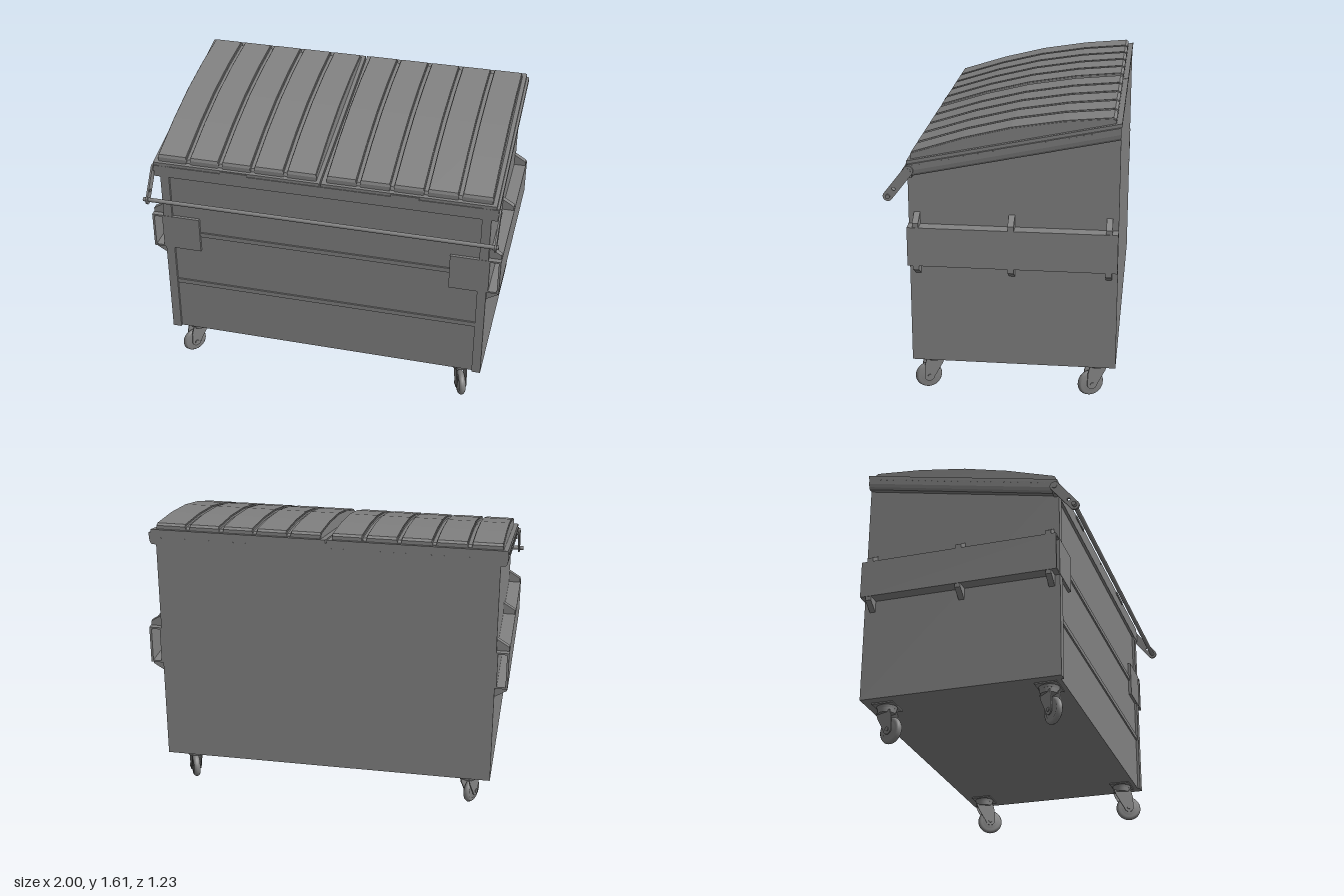
import * as THREE from 'three';

const SLOPE = 0.209;                                   // rise of the rim toward the back
const rimY = (y, z) => y + SLOPE * (0.49 - z);         // height on the slanted plane, y given at the front
const material = new THREE.MeshStandardMaterial({ color: 0x828282 });

function add(parent, name, geometry, x = 0, y = 0, z = 0) {
  const mesh = new THREE.Mesh(geometry, material);
  mesh.name = name;
  mesh.position.set(x, y, z);
  parent.add(mesh);
  return mesh;
}

const shapeOf = (pts) => new THREE.Shape(pts.map(([a, b]) => new THREE.Vector2(a, b)));

// Side profile given as [z, y], extruded from x0 to x1
function extrudeX(profile, x0, x1) {
  const shape = Array.isArray(profile) ? shapeOf(profile) : profile;
  const g = new THREE.ExtrudeGeometry(shape, { depth: x1 - x0, bevelEnabled: false, curveSegments: 16 });
  return g.rotateY(-Math.PI / 2).translate(x1, 0, 0);
}

// Front profile given as [x, y], extruded from z0 to z1 and optionally sheared along the rim
function extrudeZ(pts, z0, z1, slanted = false) {
  const g = new THREE.ExtrudeGeometry(shapeOf(pts), { depth: z1 - z0, bevelEnabled: false });
  g.translate(0, 0, z0);
  if (slanted) {
    const p = g.attributes.position;
    for (let i = 0; i < p.count; i++) p.setY(i, rimY(p.getY(i), p.getZ(i)));
    g.computeVertexNormals();
  }
  return g;
}

const rect = (x0, x1, y0, y1) => [[x0, y0], [x1, y0], [x1, y1], [x0, y1]];

function buildBody(root) {
  const body = new THREE.Group();
  body.name = 'body';
  root.add(body);
  // Hull with two pressed ribs across the front panel
  const front = [[0.475, 0.22]];
  for (const y of [0.543, 0.89]) front.push([0.475, y], [0.484, y], [0.484, y + 0.027], [0.475, y + 0.027]);
  add(body, 'hull', extrudeX([[-0.612, 0.22], ...front, [0.475, rimY(1.34, 0.475)], [-0.612, rimY(1.34, -0.612)]], -0.88, 0.88));
  const wall = [[-0.612, 0.22], [0.49, 0.22], [0.49, 1.34], [-0.612, rimY(1.34, -0.612)]];
  add(body, 'rightWall', extrudeX(wall, -0.93, -0.88));
  add(body, 'leftWall', extrudeX(wall, 0.88, 0.93));
  // Rim and its rows of rivets
  add(body, 'frontRim', new THREE.BoxGeometry(1.93, 0.068, 0.028), 0, 1.304, 0.477);
  const rivet = new THREE.CylinderGeometry(0.003, 0.003, 0.004, 6);
  for (const s of [-1, 1]) {
    const section = [[0.925, 1.272], [0.955, 1.273], [0.964, 1.285], [0.968, 1.305], [0.969, 1.34], [0.925, 1.34]];
    add(body, 'sideRim', extrudeZ(section.map(([x, y]) => [x * s, y]), -0.612, 0.485, true));
    for (let i = 0; i < 28; i++) {
      const z = 0.46 - i * 0.0385;
      add(body, 'rimRivet', rivet, 0.969 * s, rimY(1.332, z), z).rotation.z = Math.PI / 2;
    }
  }
  for (let i = 0; i < 28; i++) {
    add(body, 'backRivet', rivet, -0.9 + i * 0.0667, 1.54, -0.612).rotation.x = Math.PI / 2;
  }
}

// Hollow fork pocket with gussets and a front reinforcing plate
function buildPocket(root, s) {
  const pocket = new THREE.Group();
  pocket.name = s > 0 ? 'leftForkPocket' : 'rightForkPocket';
  root.add(pocket);
  const wall = (name, x0, x1, y0, y1) =>
    add(pocket, name, extrudeZ(rect(x0, x1, y0, y1).map(([x, y]) => [x * s, y]), -0.612, 0.49));
  wall('pocketOuterWall', 0.988, 1, 0.795, 1.008);
  wall('pocketTop', 0.925, 0.99, 0.998, 1.008);
  wall('pocketBottom', 0.925, 0.99, 0.795, 0.805);
  wall('pocketInnerWall', 0.925, 0.94, 0.795, 1.008);
  for (const z of [0.445, -0.055, -0.565]) {
    for (const up of [-1, 1]) {
      const pts = [[0.925, 0.1], [0.997, 0.1], [0.997, 0.13], [0.925, 0.175]]
        .map(([x, y]) => [x * s, 0.902 + y * up]);
      add(pocket, 'gusset', extrudeZ(pts, z - 0.016, z + 0.016));
    }
  }
  add(pocket, 'frontPlate', new THREE.BoxGeometry(0.22, 0.212, 0.02), 0.83 * s, 0.902, 0.482);
}

// One lid: slanted flange, domed crown and five raised panels
function buildLid(root, name, x0, x1, first, gripX) {
  const lid = new THREE.Group();
  lid.name = name;
  root.add(lid);
  add(lid, 'lidFlange', extrudeZ(rect(x0, x1, 1.34, 1.358), -0.616, 0.49, true));
  const crown = (drop, inset) => [
    [-0.587 + inset, rimY(1.35, -0.587 + inset)], [0.475 - inset, rimY(1.35, 0.475 - inset)],
    [0.475 - inset, 1.385 - drop], [0.468 - inset, 1.4 - drop],
    [0.2, 1.485 - drop], [-0.05, 1.547 - drop], [-0.32, 1.59 - drop],
    [-0.572 + inset, 1.613 - drop], [-0.587 + inset, 1.603 - drop]];
  const pitch = 0.1855, width = 0.165;
  add(lid, 'lidCrown', extrudeX(crown(0.018, 0.008), first + 0.002, first + 4 * pitch + width - 0.002));
  for (let i = 0; i < 5; i++) {
    const x = first + i * pitch;
    add(lid, 'raisedPanel', extrudeX(crown(0.006, 0.003), x, x + width));
    add(lid, 'raisedPanelTop', extrudeX(crown(0, 0), x + 0.004, x + width - 0.004));
  }
  add(lid, 'lidGrip', new THREE.BoxGeometry(0.155, 0.018, 0.02), gripX, 1.345, 0.486);
}

// Locking bar on two drilled arms
function buildBar(root) {
  const bar = new THREE.Group();
  bar.name = 'lockBar';
  root.add(bar);
  add(bar, 'crossBar', new THREE.CylinderGeometry(0.012, 0.012, 1.99, 16), -0.005, 1.17, 0.588).rotation.z = Math.PI / 2;
  const length = 0.178, r = 0.026;
  const arm = new THREE.Shape();
  arm.absarc(0, 0, r, Math.PI / 2, Math.PI * 1.5, false);
  arm.absarc(length, 0, r, -Math.PI / 2, Math.PI / 2, false);
  const hole = new THREE.Path();
  hole.absarc(0.052, 0, 0.009, 0, Math.PI * 2, true);
  arm.holes.push(hole);
  for (const s of [-1, 1]) {
    const mesh = add(bar, 'barArm', extrudeX(arm, -0.005, 0.005), 0.974 * s, 1.17, 0.588);
    mesh.rotation.x = -Math.atan2(0.14, -0.11);
    add(bar, 'armPivot', new THREE.CylinderGeometry(0.014, 0.014, 0.024, 12), 0.97 * s, 1.31, 0.478).rotation.z = Math.PI / 2;
  }
}

// Swivel caster trailing toward +z before it is turned
function buildCaster(root, x, z, yaw) {
  const caster = new THREE.Group();
  caster.name = 'caster';
  caster.position.set(x, 0, z);
  root.add(caster);
  add(caster, 'mountPlate', new THREE.BoxGeometry(0.14, 0.008, 0.12), 0, 0.217, 0);
  add(caster, 'swivelRace', new THREE.CylinderGeometry(0.056, 0.052, 0.016, 24), 0, 0.206, 0);
  const swivel = new THREE.Group();
  swivel.name = 'swivel';
  swivel.rotation.y = yaw;
  caster.add(swivel);
  add(swivel, 'forkCrown', new THREE.CylinderGeometry(0.052, 0.048, 0.026, 24), 0, 0.187, 0);
  const leg = new THREE.Shape();
  leg.moveTo(-0.05, 0.185);
  leg.lineTo(-0.038, 0.15);
  leg.lineTo(0.01, 0.07);
  leg.absarc(0.038, 0.074, 0.028, Math.PI, Math.PI * 2, false);
  leg.lineTo(0.064, 0.14);
  leg.lineTo(0.052, 0.185);
  for (const s of [-1, 1]) add(swivel, 'forkLeg', extrudeX(leg, s * 0.027 - 0.003, s * 0.027 + 0.003));
  const tyre = [[0.012, -0.02], [0.045, -0.02], [0.048, -0.015], [0.06, -0.019], [0.069, -0.012], [0.074, 0],
    [0.069, 0.012], [0.06, 0.019], [0.048, 0.015], [0.045, 0.02], [0.012, 0.02]].map(([a, b]) => new THREE.Vector2(a, b));
  add(swivel, 'wheel', new THREE.LatheGeometry(tyre, 32), 0, 0.074, 0.038).rotation.z = Math.PI / 2;
  add(swivel, 'axle', new THREE.CylinderGeometry(0.012, 0.012, 0.07, 12), 0, 0.074, 0.038).rotation.z = Math.PI / 2;
}

export function createModel() {
  const root = new THREE.Group();
  root.name = 'wheeledWasteContainer';
  buildBody(root);
  for (const s of [-1, 1]) buildPocket(root, s);
  buildLid(root, 'rightLid', -0.965, -0.012, -0.94, -0.5);
  buildLid(root, 'leftLid', -0.004, 0.955, 0.025, 0.462);
  buildBar(root);
  buildCaster(root, -0.805, 0.39, -0.75);
  buildCaster(root, -0.805, -0.508, -0.4);
  buildCaster(root, 0.8, 0.39, 0.35);
  buildCaster(root, 0.8, -0.508, 0.42);
  return root;
}
